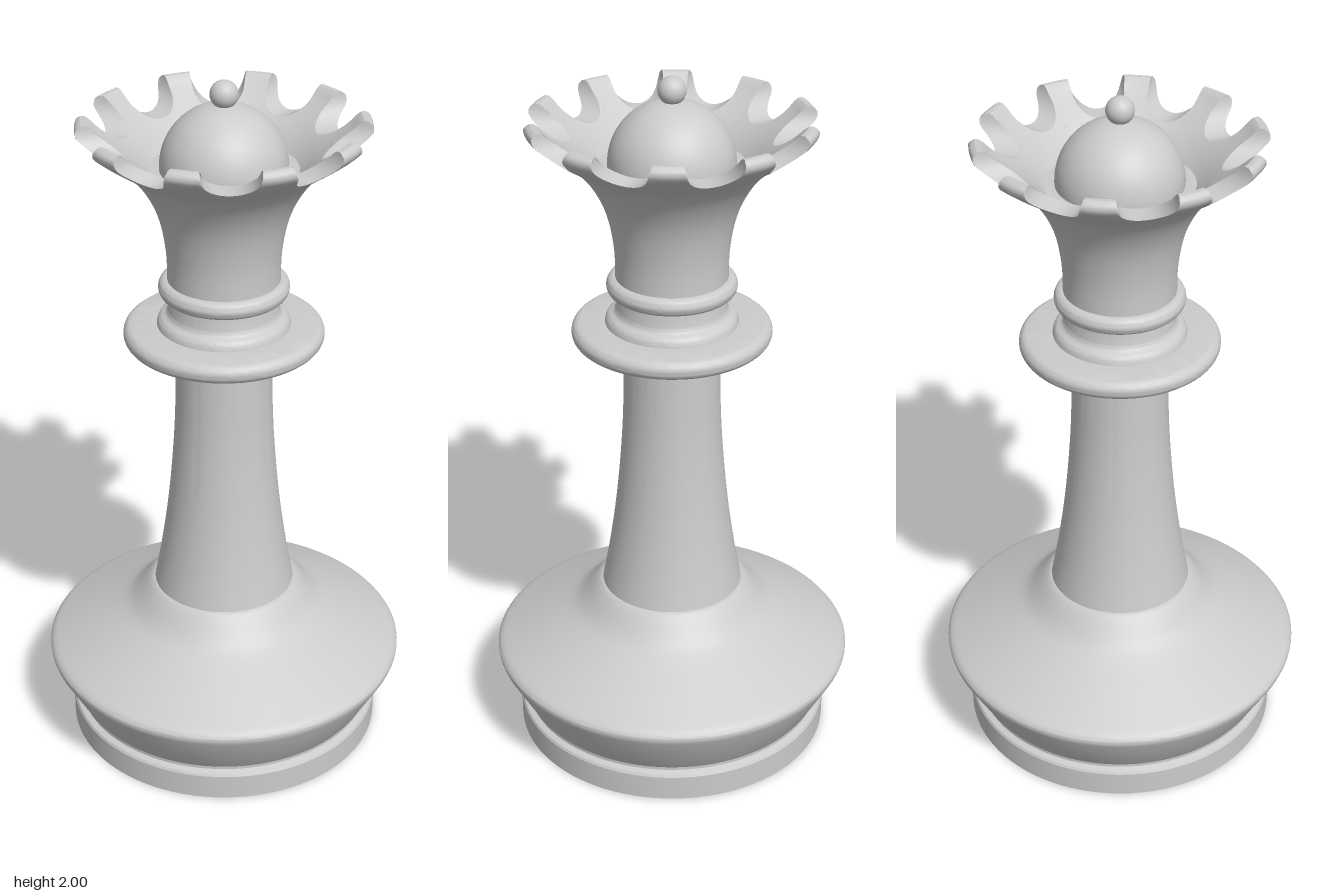
import * as THREE from 'three';
import { mergeVertices, toCreasedNormals } from 'three/addons/utils/BufferGeometryUtils.js';

const material = new THREE.MeshStandardMaterial({ color: 0xcccccc });
const V = (x, y) => new THREE.Vector2(x, y);
const spline = (pts, n) => new THREE.SplineCurve(pts.map(p => V(...p))).getPoints(n);

function add(group, name, geometry) {
  const mesh = new THREE.Mesh(geometry, material);
  mesh.name = name;
  group.add(mesh);
  return mesh;
}

// Turned part: profile from bottom to top, sharp edges kept
function turned(points) {
  return toCreasedNormals(new THREE.LatheGeometry(points, 96), 0.5);
}

// Half-round edge bulging outward, from bottom to top
function roundEdge(r, y, rx, ry, n = 12) {
  return Array.from({ length: n + 1 }, (_, i) => {
    const a = -Math.PI / 2 + (Math.PI * i) / n;
    return V(r + rx * Math.cos(a), y + ry * Math.sin(a));
  });
}

// Closed band of quads: point(column, t) with t running 0..1 across the rows
function band(columns, rows, point) {
  const pos = [], index = [], n = columns.length;
  for (let j = 0; j <= rows; j++) {
    for (const c of columns) pos.push(...point(c, j / rows).toArray());
  }
  for (let j = 0; j < rows; j++) {
    for (let i = 0; i < n; i++) {
      const k = (i + 1) % n;
      const a = j * n + i, b = j * n + k, c = b + n, d = a + n;
      index.push(a, b, c, a, c, d);
    }
  }
  const g = new THREE.BufferGeometry();
  g.setAttribute('position', new THREE.Float32BufferAttribute(pos, 3));
  g.setIndex(index);
  const merged = mergeVertices(g, 1e-6);
  merged.computeVertexNormals();
  return merged;
}

// Radius of a sampled profile at height y
function radiusAt(profile, y) {
  for (let i = 1; i < profile.length; i++) {
    const p = profile[i - 1], q = profile[i];
    if (y <= q.y) return p.x + (q.x - p.x) * Math.max(0, (y - p.y) / (q.y - p.y));
  }
  return profile[profile.length - 1].x;
}

function crown() {
  const group = new THREE.Group();
  group.name = 'crown';
  const top = 1.895, cut = 0.078, count = 10, step = (Math.PI * 2) / count;
  const outer = spline([[0.155, 1.43], [0.157, 1.52], [0.175, 1.62], [0.21, 1.7], [0.262, 1.767],
    [0.338, 1.822], [0.382, 1.857], [0.391, 1.873], [0.388, 1.887], [0.376, top]], 160);
  const inner = spline([[0.2, 1.755], [0.235, 1.79], [0.27, 1.82], [0.33, 1.865],
    [0.352, 1.886], [0.364, top]], 100);

  // Columns: round notches alternate with plain teeth
  const columns = [];
  for (let k = 0; k < count; k++) {
    for (let i = 0; i <= 20; i++) columns.push({ k, a: -Math.PI / 2 + (Math.PI * i) / 20 });
    for (let i = 1; i < 4; i++) columns.push({ k, tooth: i / 4 });
  }

  // Upper end of a column on one wall: its angle and height
  function end(profile, c) {
    if (c.tooth) {
      const edge = Math.asin(cut / radiusAt(profile, top));
      return { angle: c.k * step + edge + c.tooth * (step - 2 * edge), y: top };
    }
    const y = top - cut * Math.cos(c.a);
    return { angle: c.k * step + Math.asin((cut * Math.sin(c.a)) / radiusAt(profile, y)), y };
  }
  function onWall(profile, c, t) {
    const e = end(profile, c), y0 = profile[0].y;
    const y = y0 + (e.y - y0) * (1 - (1 - t) ** 2);
    const r = radiusAt(profile, y);
    return new THREE.Vector3(r * Math.sin(e.angle), y, r * Math.cos(e.angle));
  }

  add(group, 'crownOuterWall', band(columns, 28, (c, t) => onWall(outer, c, t)));
  add(group, 'crownInnerWall', band(columns, 14, (c, t) => onWall(inner, c, 1 - t)));
  add(group, 'crownScallopedRim', toCreasedNormals(
    band(columns, 3, (c, t) => onWall(outer, c, 1).lerp(onWall(inner, c, 1), t)), 0.6));

  // Floor inside the crown
  const floor = add(group, 'crownFloor', new THREE.CircleGeometry(0.202, 64));
  floor.rotation.x = -Math.PI / 2;
  floor.position.y = 1.756;
  return group;
}

export function createModel() {
  const model = new THREE.Group();
  model.name = 'chessQueen';

  // Foot, groove and broad flared base
  add(model, 'base', turned([
    V(0, 0), V(0.457, 0), V(0.457, 0.075), V(0.453, 0.082), V(0.437, 0.088), V(0.437, 0.097),
    V(0.445, 0.108), V(0.516, 0.238),
    ...spline([[0.52, 0.249], [0.52, 0.261], [0.512, 0.272]], 6),
    ...spline([[0.5, 0.279], [0.4, 0.33], [0.31, 0.376], [0.27, 0.404], [0.228, 0.452], [0.213, 0.467]], 20),
    V(0.203, 0.471), V(0, 0.471),
  ]));

  // Tapering column
  add(model, 'stem', turned(spline(
    [[0.203, 0.47], [0.183, 0.58], [0.163, 0.72], [0.148, 0.87], [0.138, 1.03], [0.133, 1.26]], 32)));

  // Wide collar disc with a small moulding and neck above
  add(model, 'collar', turned([
    V(0, 1.25), ...roundEdge(0.253, 1.277, 0.025, 0.027), V(0.185, 1.305),
    ...spline([[0.183, 1.315], [0.176, 1.327], [0.16, 1.336], [0.153, 1.35]], 10),
    V(0.153, 1.44),
  ]));

  // Narrow ring under the crown
  add(model, 'neckRing', turned([
    V(0.14, 1.39), ...roundEdge(0.158, 1.415, 0.022, 0.025), V(0.14, 1.44),
  ]));

  model.add(crown());

  // Dome and finial ball
  const dome = add(model, 'dome', new THREE.SphereGeometry(0.172, 64, 24, 0, Math.PI * 2, 0, Math.PI / 2 + 0.08));
  dome.position.y = 1.763;
  const ball = add(model, 'finialBall', new THREE.SphereGeometry(0.038, 32, 20));
  ball.position.y = 1.962;
  return model;
}
